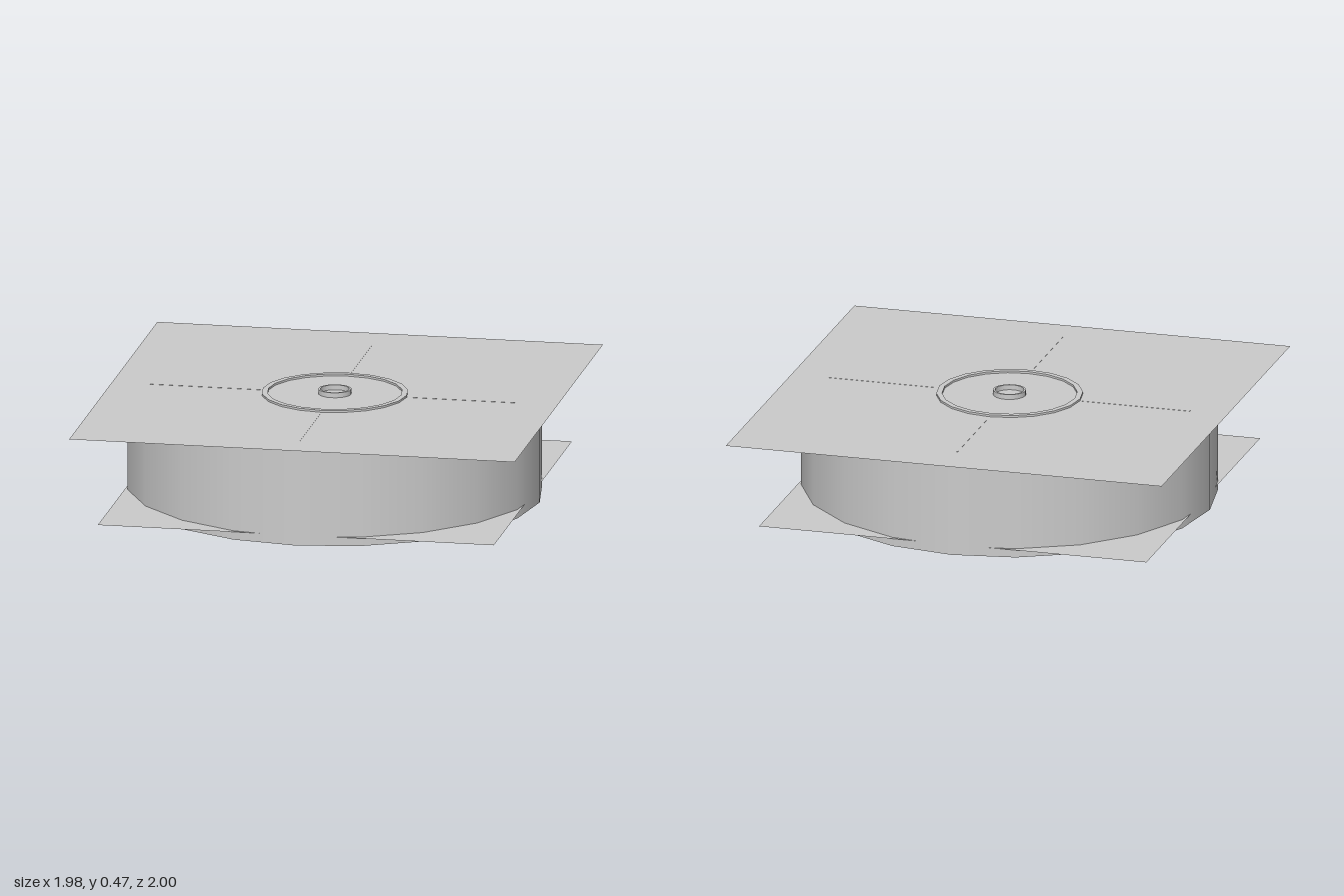
import * as THREE from 'three';
import { mergeGeometries } from 'three/addons/utils/BufferGeometryUtils.js';

const SIDES = 20;
const CZ = 0.025;      // drum axis
const TOP = 0.445;     // top sheet height
const FLOOR = 0.04;    // lower sheet height
const mat = new THREE.MeshStandardMaterial({ color: 0xcccccc, side: THREE.DoubleSide });

// Revolved profile: each edge is its own smooth band so corners stay sharp
function turned(points) {
  const bands = [];
  for (let i = 0; i + 1 < points.length; i++) {
    const edge = [points[i], points[i + 1]].map(([r, y]) => new THREE.Vector2(r, y));
    bands.push(new THREE.LatheGeometry(edge, SIDES));
  }
  return mergeGeometries(bands);
}

const collar = (r0, r1, y0, y1) =>
  turned([[r1, y0], [r1, y1], [r0, y1], [r0, y0], [r1, y0]]);

// Outline of a curved slot, angles measured in the x-z plane
function arcPath(PathType, r0, r1, a0, a1) {
  const p = new PathType();
  p.absarc(0, 0, r1, a0, a1, false);
  p.absarc(0, 0, r0, a1, a0, true);
  p.closePath();
  return p;
}

function circlePath(x, z, r) {
  const p = new THREE.Path();
  p.absarc(x, z, r, 0, Math.PI * 2, true);
  return p;
}

export function createModel() {
  const model = new THREE.Group();
  const drum = new THREE.Group();
  drum.name = 'drum';
  drum.position.z = CZ;
  model.add(drum);

  const add = (parent, name, geometry, x = 0, y = 0, z = 0) => {
    const mesh = new THREE.Mesh(geometry, mat);
    mesh.name = name;
    mesh.position.set(x, y, z);
    parent.add(mesh);
    return mesh;
  };

  // Large sheet across the top
  add(model, 'topSheet', new THREE.PlaneGeometry(1.98, 2).rotateX(-Math.PI / 2), 0, TOP, 0);

  // Outer wall, bottom rim and the recess wall inside the rim
  add(drum, 'drumWall', turned([[0.82, FLOOR], [0.82, 0], [0.91, 0], [0.91, TOP - 0.001]]));

  // Lower sheet with its openings (shape y becomes model z)
  const sheet = new THREE.Shape([[-1, -1], [1, -1], [1, 1], [-1, 1]]
    .map(([x, z]) => new THREE.Vector2(x * 0.88, z * 0.885)));
  const corner = Math.PI * 1.25;
  sheet.holes.push(arcPath(THREE.Path, 0.67, 0.77, corner - 0.55, corner + 0.55));
  sheet.holes.push(circlePath(0.36, 0.34, 0.05), circlePath(-0.34, -0.34, 0.05));
  // Small screw holes around the first opening
  const screws = [[0.57, 0.29], [0.56, 0.22], [0.49, 0.17], [0.41, 0.18],
    [0.33, 0.55], [0.22, 0.5], [0.21, 0.41]];
  for (const [x, z] of screws) sheet.holes.push(circlePath(x, z, 0.016));
  // Fan of vents
  for (let i = 0; i < 5; i++) {
    const a = -0.8 + i * 0.4;
    const at = (r, t) => new THREE.Vector2(-0.42 - r * Math.cos(a + t), -0.04 + r * Math.sin(a + t));
    sheet.holes.push(new THREE.Path([at(0.04, -0.1), at(0.15, -0.1), at(0.15, 0.1), at(0.04, 0.1)]));
  }
  add(drum, 'lowerSheet', new THREE.ShapeGeometry(sheet, 10).rotateX(Math.PI / 2), 0, FLOOR, 0);

  // Slim spokes on both faces
  for (let i = 0; i < 4; i++) {
    const a = i * Math.PI / 2;
    for (const [name, y] of [['topSpoke', TOP - 0.001], ['bottomSpoke', FLOOR]]) {
      const spoke = add(drum, name, new THREE.BoxGeometry(0.49, 0.004, 0.008),
        Math.cos(a) * 0.575, y, Math.sin(a) * 0.575);
      spoke.rotation.y = -a;
    }
  }

  // Raised rings on the top
  add(drum, 'topRing', collar(0.295, 0.32, TOP - 0.005, TOP + 0.009));
  add(drum, 'hubRing', collar(0.063, 0.072, TOP - 0.005, TOP + 0.022));

  // Rings underneath
  add(drum, 'bottomRing', collar(0.285, 0.3, FLOOR - 0.006, FLOOR));
  add(drum, 'bottomHub', collar(0.06, 0.075, FLOOR - 0.01, FLOOR));
  const open = arcPath(THREE.Shape, 0.155, 0.195, corner + 0.35, corner + Math.PI * 2 - 0.35);
  add(drum, 'openRing', new THREE.ExtrudeGeometry(open,
    { depth: 0.015, bevelEnabled: false, curveSegments: SIDES }).rotateX(Math.PI / 2), 0, FLOOR, 0);

  return model;
}
